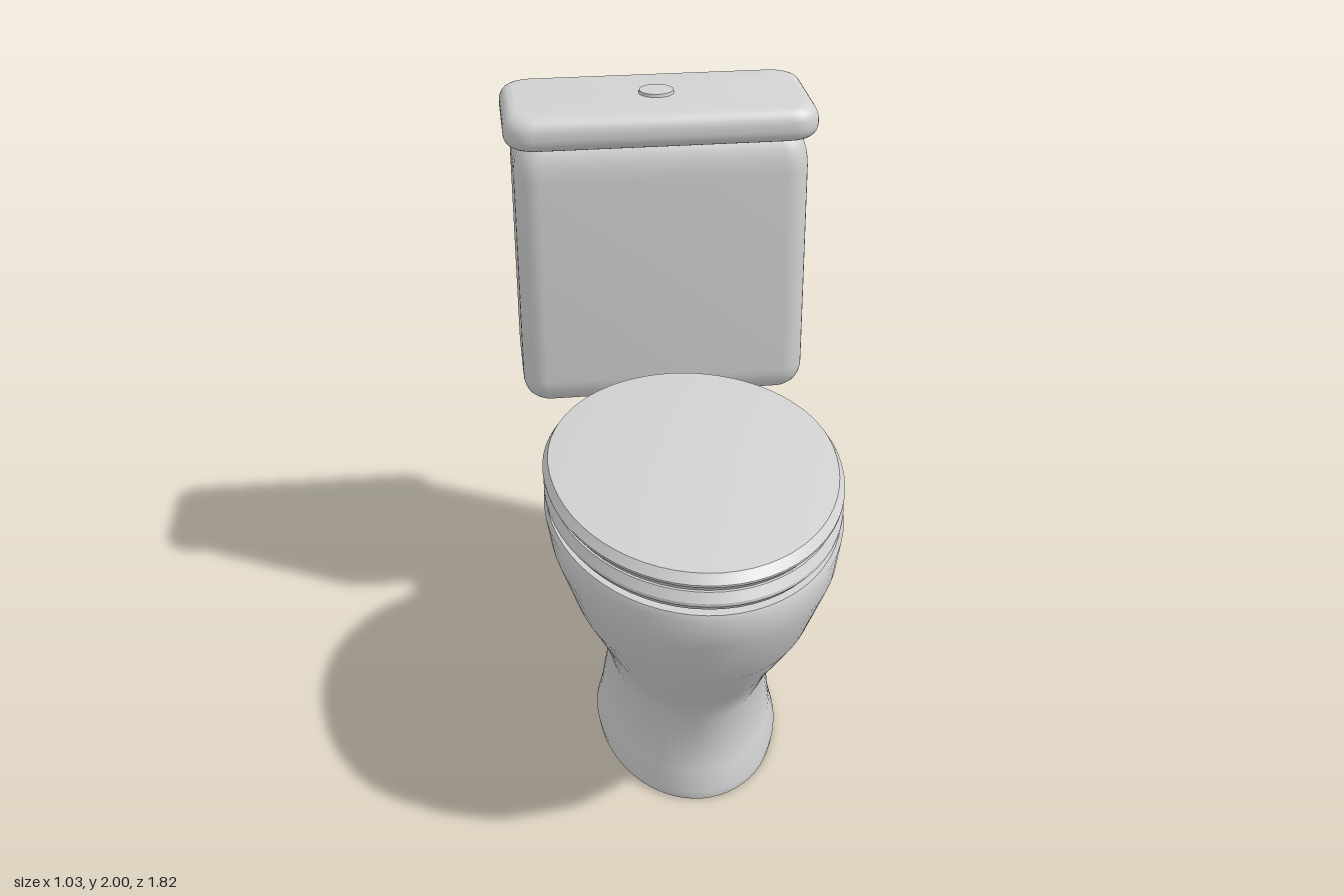
import * as THREE from 'three';
import { toCreasedNormals } from 'three/addons/utils/BufferGeometryUtils.js';

const SEGMENTS = 64;

// Egg outline, widest a little behind the middle
function eggOutline([, hx, zb, zf]) {
  const zc = zb + (zf - zb) * 0.46;
  return Array.from({ length: SEGMENTS }, (_, i) => {
    const a = (i / SEGMENTS) * Math.PI * 2, c = Math.cos(a);
    return [hx * Math.sin(a), zc + c * (c > 0 ? zf - zc : zc - zb)];
  });
}

// Rectangle outline with rounded corners
function rectOutline([, hx, zb, zf, r]) {
  const pts = [], n = 8;
  for (let q = 0; q < 4; q++) {
    const cx = (q < 2 ? 1 : -1) * (hx - r);
    const cz = q === 0 || q === 3 ? zf - r : zb + r;
    for (let i = 0; i <= n; i++) {
      const a = (q + i / n) * Math.PI / 2;
      pts.push([cx + r * Math.sin(a), cz + r * Math.cos(a)]);
    }
  }
  return pts;
}

// Closed solid through horizontal sections, listed from bottom to top
function loft(rows, outline, crease = 0.7) {
  const pos = [], index = [];
  const rings = rows.map(outline), n = rings[0].length;
  rings.forEach((ring, j) => ring.forEach(([x, z]) => pos.push(x, rows[j][0], z)));
  for (let j = 0; j < rows.length - 1; j++) {
    for (let i = 0; i < n; i++) {
      const k = (i + 1) % n, a = j * n + i, b = j * n + k;
      index.push(a, b, b + n, a, b + n, a + n);
    }
  }
  const last = rows.length - 1;
  [0, last].forEach((j) => {
    const centre = pos.length / 3;
    pos.push(0, rows[j][0], (rows[j][2] + rows[j][3]) / 2);
    for (let i = 0; i < n; i++) {
      const a = j * n + i, b = j * n + (i + 1) % n;
      if (j === 0) index.push(centre, b, a);
      else index.push(centre, a, b);
    }
  });
  const g = new THREE.BufferGeometry();
  g.setAttribute('position', new THREE.Float32BufferAttribute(pos, 3));
  g.setIndex(index);
  return toCreasedNormals(g, crease);
}

// Soft box; bottom and top are [edge height, edge inset], slant pulls the front back at the top
function softBox({ y0, y1, hx, zb, zf, r, bottom, top, slant = 0 }) {
  const rows = [], n = 7;
  const add = (y, inset) => rows.push([y, hx - inset, zb + inset,
    zf - inset - slant * (y - y0) / (y1 - y0), Math.max(r - inset * 0.5, 0.02)]);
  for (let i = 0; i <= n; i++) {
    const a = (i / n) * Math.PI / 2;
    add(y0 + bottom[0] * (1 - Math.cos(a)), bottom[1] * (1 - Math.sin(a)));
  }
  for (let i = 0; i <= n; i++) {
    const a = (i / n) * Math.PI / 2;
    add(y1 - top[0] * (1 - Math.sin(a)), top[1] * (1 - Math.cos(a)));
  }
  return loft(rows, rectOutline, 0.8);
}

export function createModel() {
  const group = new THREE.Group();
  const ceramic = new THREE.MeshStandardMaterial({ color: 0xd2d2d2 });
  ceramic.name = 'ceramic';
  const add = (name, geometry, x = 0, y = 0, z = 0) => {
    const mesh = new THREE.Mesh(geometry, ceramic);
    mesh.name = name;
    mesh.position.set(x, y, z);
    group.add(mesh);
    return mesh;
  };

  // Pedestal and bowl
  add('bowl', loft([
    [0, 0.3, -0.35, 0.53], [0.03, 0.305, -0.355, 0.535], [0.1, 0.287, -0.335, 0.512],
    [0.31, 0.258, -0.27, 0.512], [0.47, 0.295, -0.26, 0.63], [0.68, 0.385, -0.28, 0.8],
    [0.87, 0.447, -0.315, 0.895], [0.97, 0.463, -0.345, 0.912], [0.99, 0.455, -0.35, 0.905],
  ], eggOutline));

  // Seat and lid share one outline, scaled about its middle
  const zMid = 0.225;
  const eggRow = ([y, s]) => [y, 0.463 * s, zMid - 0.583 * s, zMid + 0.688 * s];
  add('seatGap', loft([[0.98, 0.93], [1.07, 0.93]].map(eggRow), eggOutline));
  add('seat', loft([[1.0, 0.965], [1.022, 0.995], [1.032, 0.995], [1.06, 0.97]].map(eggRow), eggOutline, 0.4));
  add('lid', loft([[1.062, 0.96], [1.088, 0.998], [1.094, 0.998], [1.12, 0.962], [1.139, 0.65]].map(eggRow), eggOutline, 0.5));

  // Lid hinges
  for (const side of [-1, 1]) {
    const hinge = add('hinge', new THREE.CapsuleGeometry(0.033, 0.02, 6, 16), side * 0.182, 1.027, -0.323);
    hinge.rotation.z = Math.PI / 2;
  }

  // Block that carries the tank behind the bowl
  add('tankSupport', softBox({
    y0: 0.42, y1: 0.957, hx: 0.28, zb: -0.6, zf: -0.2, r: 0.08,
    bottom: [0.075, 0.075], top: [0.08, 0.06], slant: 0.045,
  }));

  // Tank, its cover, the flush button and the bolt below
  add('tank', softBox({
    y0: 0.965, y1: 1.9, hx: 0.487, zb: -0.885, zf: -0.448, r: 0.08,
    bottom: [0.09, 0.06], top: [0.13, 0.06],
  }));
  add('tankCover', softBox({
    y0: 1.877, y1: 1.99, hx: 0.515, zb: -0.912, zf: -0.425, r: 0.09,
    bottom: [0.045, 0.04], top: [0.055, 0.045],
  }));
  add('flushButton', new THREE.CylinderGeometry(0.057, 0.061, 0.02, 32), 0, 1.99, -0.672);
  add('tankBolt', new THREE.CylinderGeometry(0.02, 0.02, 0.03, 16), 0, 0.973, -0.67);

  return group;
}
